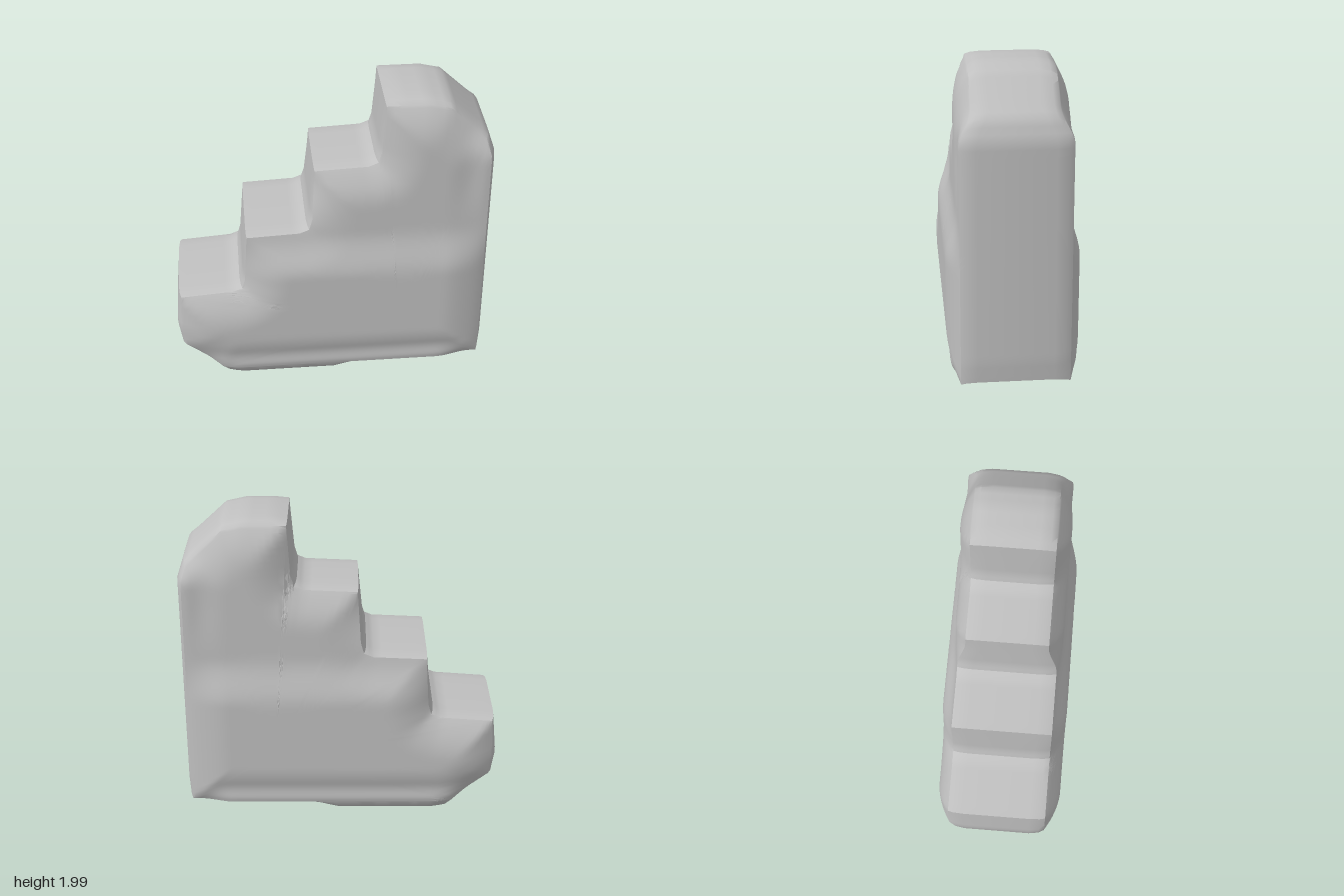
import * as THREE from 'three';
import { toCreasedNormals } from 'three/addons/utils/BufferGeometryUtils.js';

const { lerp, smoothstep } = THREE.MathUtils;

// Side outline, counter-clockwise: [edge x, edge y, crown x, crown y].
// The edge bounds the side faces; the crown is the slightly fuller mid strip.
function makeOutline() {
  const pts = [
    [-0.72, 0.10, -0.66, 0.01], [0, 0.10, 0.02, 0.01], [0.2, 0.10, 0.2, 0.08],
    [0.85, 0.10, 0.85, 0.08], [0.97, 0.10, 0.99, 0.12], [0.975, 0.25, 1, 0.25],
    [0.97, 1.63, 1, 1.63], [0.94, 1.73, 0.96, 1.75], [0.72, 1.94, 0.72, 1.97],
    [0.6, 1.97, 0.58, 2], [0.42, 1.97, 0.42, 2],
  ];
  // Each stair: nose, riser, soft inner corner, start of the next tread down
  for (let k = 3; k > 0; k--) {
    const x = 0.33 - (3 - k) * 0.43, y = 1.97 - (3 - k) * 0.43;
    pts.push([x, y, x - 0.005, y + 0.015], [x - 0.02, y - 0.32, x - 0.035, y - 0.31],
      [x - 0.04, y - 0.39, x - 0.055, y - 0.375], [x - 0.1, y - 0.415, x - 0.1, y - 0.4]);
  }
  pts.push([-0.96, 0.67, -0.975, 0.685], [-0.975, 0.42, -1, 0.42], [-0.95, 0.28, -0.98, 0.28]);
  return pts;
}

function distanceToOutline(x, y, pts) {
  let best = Infinity;
  pts.forEach(([ax, ay], i) => {
    const [bx, by] = pts[(i + 1) % pts.length];
    const dx = bx - ax, dy = by - ay;
    const t = THREE.MathUtils.clamp(((x - ax) * dx + (y - ay) * dy) / (dx * dx + dy * dy), 0, 1);
    best = Math.min(best, Math.hypot(x - ax - dx * t, y - ay - dy * t));
  });
  return best;
}

// Half thickness: wide foot, slimmer top, softened toward the outline
function halfDepth(x, y, pts) {
  const full = lerp(0.405, 0.342, smoothstep(y, 0.82, 1.12));
  let edge = lerp(0.315, 0.255, smoothstep(y, 1.15, 1.5));
  edge = lerp(edge, 0.33, smoothstep(x, 0.75, 0.95) * (1 - smoothstep(y, 1.6, 1.8)));
  const underside = (1 - smoothstep(y, 0.12, 0.25)) * smoothstep(x, -0.85, -0.6) * (1 - smoothstep(x, 0.7, 0.95));
  edge = lerp(edge, 0.375, underside);
  const s = Math.min(1, distanceToOutline(x, y, pts) / 0.27);
  return lerp(edge, full, 1 - (1 - s) ** 2);
}

function makeBody() {
  const pts = makeOutline();
  const loop = [];
  pts.forEach((p, i) => {
    const q = pts[(i + 1) % pts.length];
    const n = Math.max(1, Math.ceil(Math.hypot(q[0] - p[0], q[1] - p[1]) / 0.05));
    for (let k = 0; k < n; k++) loop.push(p.map((v, j) => lerp(v, q[j], k / n)));
  });

  // Rings spread from a point that sees the whole outline
  const cx = 0.42, cy = 0.5, rings = 28;
  const front = [];
  for (let r = 0; r <= rings; r++) {
    const t = 1 - (1 - r / rings) ** 1.4;
    front.push(loop.map(([ex, ey]) => {
      const x = lerp(cx, ex, t), y = lerp(cy, ey, t);
      return [x, y, halfDepth(x, y, pts)];
    }));
  }
  // Rounded shoulder from edge to crown
  const edgeRing = front[rings];
  for (const [out, inward] of [[0.65, 0.035], [1, 0.1]]) {
    front.push(loop.map(([ex, ey, mx, my], i) =>
      [lerp(ex, mx, out), lerp(ey, my, out), edgeRing[i][2] - inward]));
  }
  const back = front.map(row => row.map(([x, y, z]) => [x, y, -z])).reverse();
  const rows = [...front, ...back];

  const n = loop.length, index = [];
  for (let r = 0; r < rows.length - 1; r++) {
    for (let i = 0; i < n; i++) {
      const j = (i + 1) % n;
      const a = r * n + i, b = a + n, c = (r + 1) * n + j, d = r * n + j;
      if (r < rows.length - 2) index.push(a, b, c);
      else index.push(a, b, d);
      if (r > 0 && r < rows.length - 2) index.push(a, c, d);
    }
  }
  const geometry = new THREE.BufferGeometry();
  geometry.setAttribute('position', new THREE.Float32BufferAttribute(rows.flat(2), 3));
  geometry.setIndex(index);
  // Stand the underside on the ground
  geometry.computeBoundingBox();
  geometry.translate(0, -geometry.boundingBox.min.y, 0);
  return toCreasedNormals(geometry, 0.6);
}

export function createModel() {
  const group = new THREE.Group();
  group.name = 'staircaseBlock';
  const stone = new THREE.MeshStandardMaterial({ color: 0xc0c0c0 });
  stone.name = 'light grey stone';
  const body = new THREE.Mesh(makeBody(), stone);
  body.name = 'stairBody';
  group.add(body);
  return group;
}
